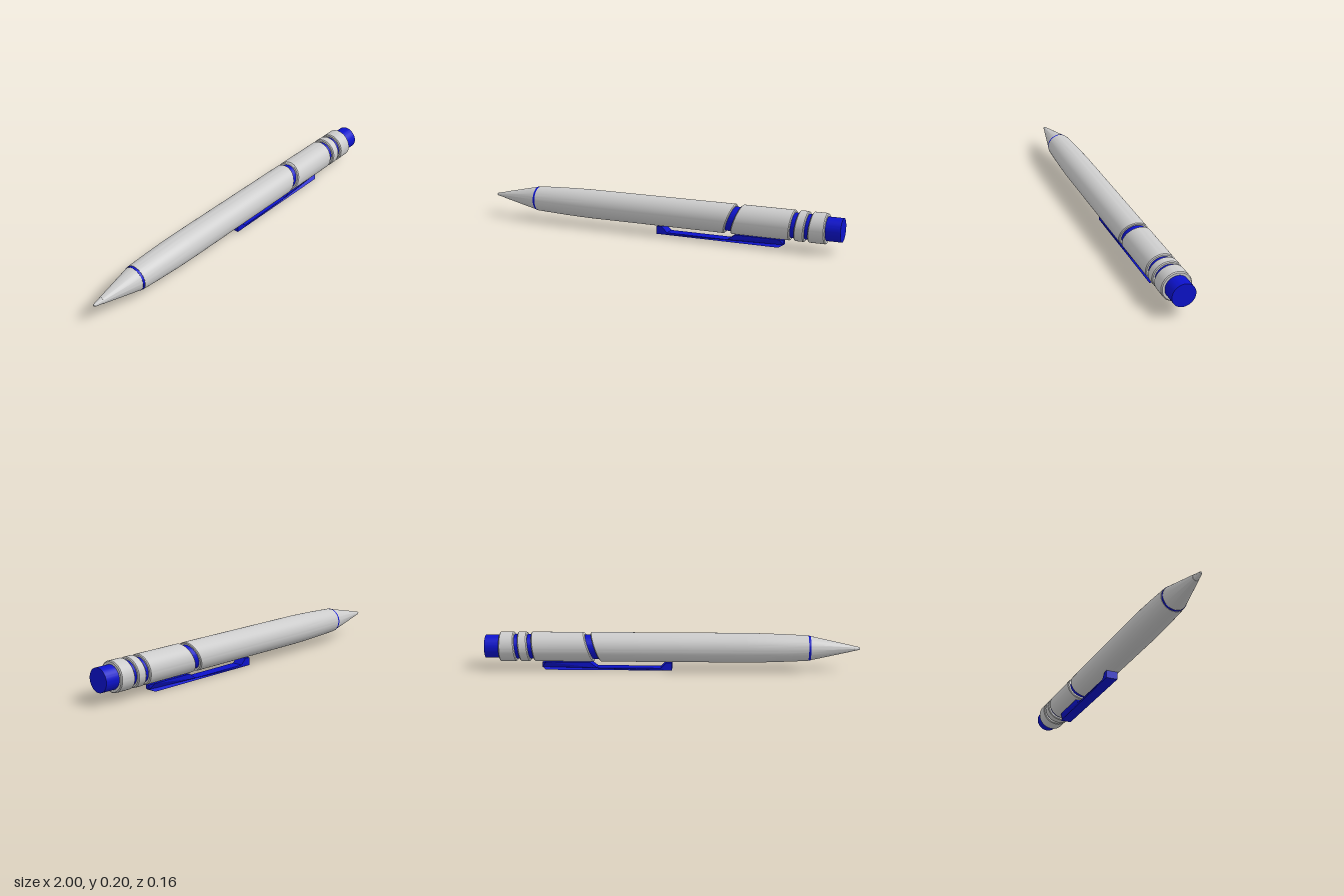
import * as THREE from 'three';
import { toCreasedNormals } from 'three/addons/utils/BufferGeometryUtils.js';

const AXIS = 0.12; // height of the pen's centre line
const R = 0.079;   // barrel radius
const CORE = 0.065;

export function createModel() {
  const group = new THREE.Group();
  const grey = new THREE.MeshStandardMaterial({ color: 0xcccccc });
  const blue = new THREE.MeshStandardMaterial({ color: 0x0c12cc });

  function add(name, geometry, material) {
    const mesh = new THREE.Mesh(toCreasedNormals(geometry, 0.5), material);
    mesh.name = name;
    group.add(mesh);
  }

  // Turned part along x; each profile point is [x, radius, slant],
  // where slant shears that ring into an oblique cut.
  function turned(name, profile, material) {
    const geo = new THREE.LatheGeometry(profile.map(([x, r]) => new THREE.Vector2(r, x)), 64);
    geo.rotateZ(-Math.PI / 2);
    const pos = geo.attributes.position;
    for (let i = 0; i < pos.count; i++) {
      const slant = profile[i % profile.length][2] || 0;
      pos.setX(i, pos.getX(i) + slant * pos.getY(i));
    }
    geo.translate(0, AXIS, 0);
    add(name, geo, material);
  }

  // Barrel sleeve with small bevels and slanted ends
  function sleeve(name, x0, k0, x1, k1) {
    turned(name, [
      [x0, 0.06, k0], [x0, R - 0.005, k0], [x0 + 0.005, R, k0],
      [x1 - 0.005, R, k1], [x1, R - 0.005, k1], [x1, 0.06, k1],
    ], grey);
  }

  // Writing tip and nose cone
  turned('tip', [[-1, 0], [-1, 0.005], [-0.995, 0.008], [-0.95, 0.017]], grey);
  turned('noseCone', [[-0.95, 0], [-0.95, 0.018], [-0.735, CORE], [-0.735, 0]], grey);

  // Inner core, seen in the grooves
  turned('core', [[-0.736, 0], [-0.736, CORE + 0.001], [-0.72, CORE + 0.001],
    [-0.71, CORE], [0.91, CORE], [0.91, 0]], blue);

  // Main barrel, tapering toward the nose
  turned('barrel', [
    [-0.724, 0.06], [-0.724, 0.068], [-0.6, 0.0735], [-0.5, 0.077], [-0.4, R],
    [0.404, R, 0.35], [0.409, R - 0.005, 0.35], [0.409, 0.06, 0.35],
  ], grey);

  // Rear sleeves separated by slanted grooves
  sleeve('rearBarrel', 0.443, 0.35, 0.744, 0.12);
  sleeve('rearRing', 0.767, 0.12, 0.818, 0.1);
  sleeve('endRing', 0.838, 0.1, 0.922, 0);
  turned('endFace', [[0.921, 0.075], [0.921, 0]], grey);

  // Push button
  turned('button', [[0.9, 0], [0.9, 0.0615], [1, 0.0615], [1, 0]], blue);

  // Clip: side profile extruded across z, with a narrowed rear end
  const side = new THREE.Shape([
    [0, 0], [0.675, 0], [0.698, 0.012], [0.698, 0.035], [0.675, 0.042], [0.44, 0.042],
    [0.4, 0.012], [0.06, 0.012], [0.03, 0.042], [0, 0.042],
  ].map(([x, y]) => new THREE.Vector2(x, y)));
  const clip = new THREE.ExtrudeGeometry(side, { depth: 0.062, bevelEnabled: false });
  clip.translate(0, 0, -0.031);
  const cp = clip.attributes.position;
  for (let i = 0; i < cp.count; i++) {
    if (cp.getX(i) > 0.69) cp.setZ(i, cp.getZ(i) * 0.33);
  }
  clip.translate(0, 0, -0.003);
  add('clip', clip, blue);

  return group;
}
